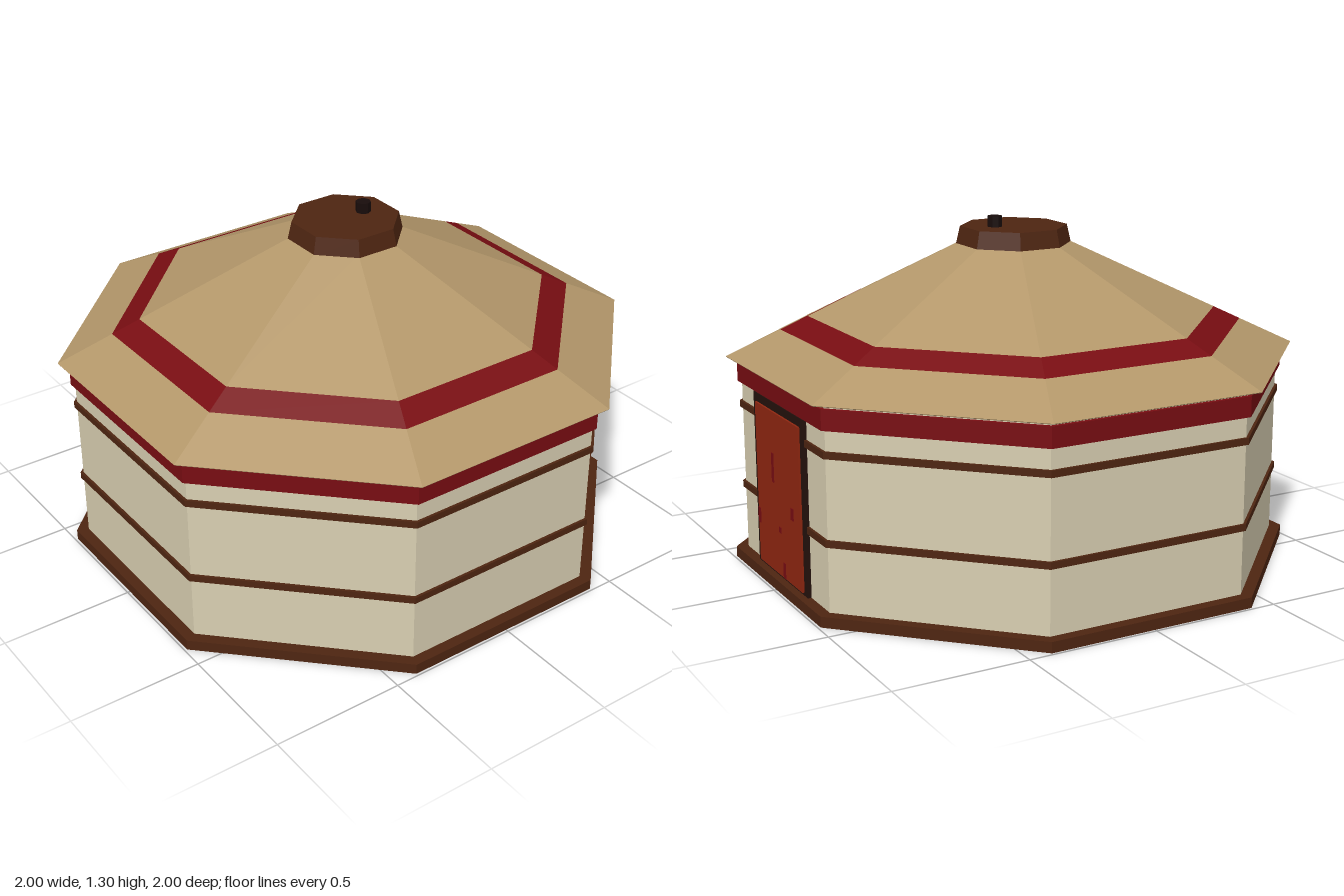
import * as THREE from 'three';

const mat = (name, color, extra = {}) => {
  const m = new THREE.MeshStandardMaterial({ color, flatShading: true, ...extra });
  m.name = name;
  return m;
};

export function createModel() {
  const group = new THREE.Group();
  const felt = mat('cream felt', 0xd8ceb1);
  const canvas = mat('tan canvas', 0xb3976a);
  const red = mat('dark red cloth', 0x780d12);
  const wood = mat('brown wood', 0x4e2511);
  const dark = mat('dark wood', 0x24110c);
  const paint = mat('red door paint', 0x8f2610);
  const soot = mat('black iron', 0x180c0b);

  const add = (name, geometry, material) => {
    const mesh = new THREE.Mesh(geometry, material);
    mesh.name = name;
    group.add(mesh);
    return mesh;
  };

  // Eight-sided ring or frustum; radii are measured to the middle of a side
  const octagon = (name, y0, y1, r0, r1, material, open = false) => {
    const k = 1 / Math.cos(Math.PI / 8);
    const g = new THREE.CylinderGeometry(r1 * k, r0 * k, y1 - y0, 8, 1, open);
    g.rotateY(Math.PI / 8);
    g.translate(0, (y0 + y1) / 2, 0);
    return add(name, g, material);
  };

  // Floor and walls
  octagon('floorBase', 0, 0.04, 0.99, 0.99, wood);
  octagon('wall', 0.04, 0.79, 0.948, 0.948, felt);
  octagon('lowerRope', 0.28, 0.305, 0.958, 0.958, wood);
  octagon('upperRope', 0.595, 0.62, 0.958, 0.958, wood);
  octagon('wallBand', 0.695, 0.77, 0.963, 0.963, red);

  // Roof: three sloping rings on one line, with a flat underside
  const slope = r => 0.79 + (1 - r) * 0.41 / 0.8;
  const rings = [1, 0.81, 0.715, 0.19];
  ['roofEave', 'roofBand', 'roofUpper'].forEach((name, i) => {
    const a = rings[i], b = rings[i + 1];
    octagon(name, slope(a), slope(b), a, b, i === 1 ? red : canvas, true);
  });
  octagon('roofUnderside', 0.787, 0.79, 0.998, 1, canvas);

  // Crown and smoke pipe
  octagon('roofCrown', 1.19, 1.265, 0.202, 0.186, wood);
  const pipe = new THREE.CylinderGeometry(0.028, 0.028, 0.06, 8);
  pipe.translate(0.08, 1.275, 0);
  add('smokePipe', pipe, soot);

  // Door on the model's left side
  const plate = (name, x0, x1, y0, y1, z0, z1, material) => {
    const g = new THREE.BoxGeometry(x1 - x0, y1 - y0, z1 - z0);
    g.translate((x0 + x1) / 2, (y0 + y1) / 2, (z0 + z1) / 2);
    add(name, g, material);
  };
  plate('doorFrame', 0.93, 0.962, 0.04, 0.692, -0.232, 0.237, dark);
  plate('doorPanel', 0.94, 0.97, 0.052, 0.66, -0.202, 0.205, paint);

  // Worn paint marks: bottom, top, back and front edges
  [
    [0.395, 0.505, 0.036, 0.055],
    [0.3, 0.345, -0.142, -0.118],
    [0.2, 0.258, 0.182, 0.205],
    [0.218, 0.24, -0.02, 0.0],
    [0.053, 0.112, -0.05, -0.03],
  ].forEach(([y0, y1, z0, z1]) => plate('doorMark', 0.969, 0.972, y0, y1, z0, z1, red));

  return group;
}
